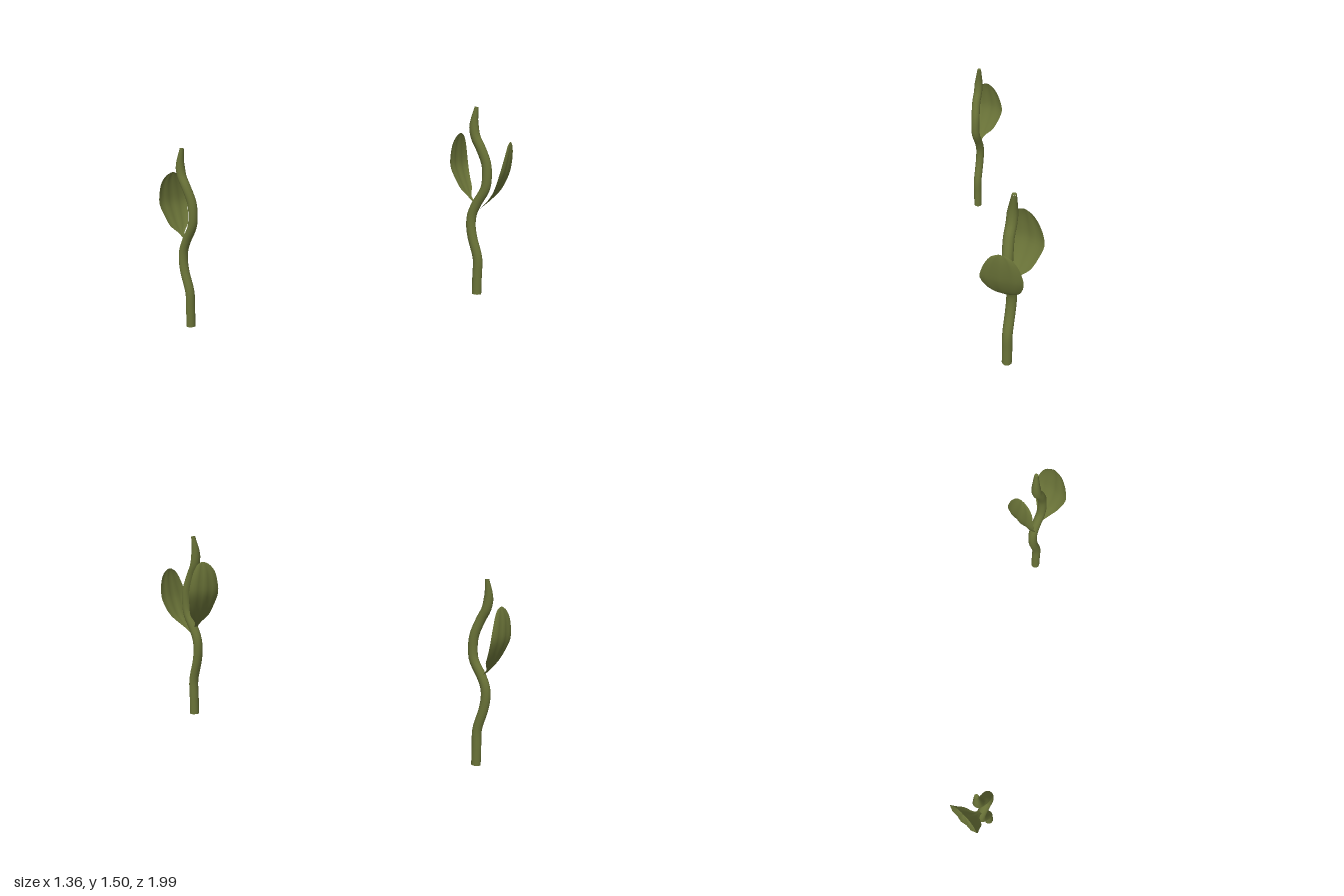
import * as THREE from 'three';

const green = new THREE.MeshStandardMaterial({ color: 0x6a7338 });
const leafGreen = new THREE.MeshStandardMaterial({ color: 0x6a7338, side: THREE.DoubleSide });

const STEM_RADIUS = 0.031, TIP_RADIUS = 0.013, TAPER_Y = 1.1, TOP_Y = 1.23;

function addMesh(parent, name, geometry, material) {
  const mesh = new THREE.Mesh(geometry, material);
  mesh.name = name;
  parent.add(mesh);
  return mesh;
}

// Winding stalk: a tube whose last rings shrink towards the tip, with flat caps
function addStem(parent) {
  const path = new THREE.CatmullRomCurve3([
    [-0.577, 0, -0.812], [-0.577, 0.12, -0.812], [-0.577, 0.24, -0.813],
    [-0.582, 0.38, -0.853], [-0.582, 0.46, -0.866], [-0.579, 0.53, -0.862],
    [-0.574, 0.6, -0.835], [-0.567, 0.7, -0.78], [-0.566, 0.76, -0.77],
    [-0.566, 0.86, -0.776], [-0.58, 0.97, -0.815], [-0.584, 1.04, -0.851],
    [-0.584, 1.12, -0.864], [-0.573, TOP_Y, -0.855],
  ].map((p) => new THREE.Vector3(...p)));
  const rings = 48, sides = 12;
  const tube = new THREE.TubeGeometry(path, rings, STEM_RADIUS, sides);
  const pos = tube.attributes.position, v = new THREE.Vector3();
  for (let i = 0; i <= rings; i++) {
    const centre = path.getPointAt(i / rings);
    const t = THREE.MathUtils.clamp((centre.y - TAPER_Y) / (TOP_Y - TAPER_Y), 0, 1);
    const scale = THREE.MathUtils.lerp(1, TIP_RADIUS / STEM_RADIUS, t);
    for (let j = 0; j <= sides; j++) {
      const k = i * (sides + 1) + j;
      v.fromBufferAttribute(pos, k).sub(centre).multiplyScalar(scale).add(centre);
      pos.setXYZ(k, v.x, v.y, v.z);
    }
  }
  addMesh(parent, 'stem', tube, green);
  for (const [name, u, r, turn] of [['stemBase', 0, STEM_RADIUS, 1], ['stemTip', 1, TIP_RADIUS, -1]]) {
    const cap = addMesh(parent, name, new THREE.CircleGeometry(r, sides), green);
    cap.rotation.x = turn * Math.PI / 2;
    cap.position.copy(path.getPointAt(u));
  }
}

// Leaf blade lofted over rows of [y, centre x, centre z, half width];
// outward is the z direction away from the stem, skew turns the blade
function addLeaf(parent, name, rows, outward, skew) {
  const across = 12, along = 24;
  const curve = (a, b, c) => new THREE.CatmullRomCurve3(
    rows.map((r) => new THREE.Vector3(r[a], r[b], c === undefined ? 0 : r[c])));
  const spine = curve(1, 0, 2), widths = curve(3, 0);
  const positions = [], index = [];
  for (let i = 0; i <= along; i++) {
    const p = spine.getPoint(i / along);
    const half = Math.max(widths.getPoint(i / along).x, 0.004);
    for (let j = 0; j <= across; j++) {
      const s = j / across * 2 - 1;
      // shallow cup towards the stem with soft lengthwise ribs
      const bulge = half * (0.12 * (0.5 - s * s) + 0.03 * Math.cos(s * Math.PI * 3));
      positions.push(p.x + s * half, p.y, p.z + s * half * skew + outward * bulge);
      if (i < along && j < across) {
        const a = i * (across + 1) + j, b = a + across + 1;
        index.push(a, a + 1, b + 1, a, b + 1, b);
      }
    }
  }
  const geometry = new THREE.BufferGeometry();
  geometry.setAttribute('position', new THREE.Float32BufferAttribute(positions, 3));
  geometry.setIndex(index);
  geometry.computeVertexNormals();
  addMesh(parent, name, geometry, leafGreen);
}

const BACK_LEAF = [
  [0.6, -0.575, -0.843, 0.006], [0.65, -0.571, -0.89, 0.025], [0.7, -0.569, -0.92, 0.075],
  [0.77, -0.563, -0.957, 0.1], [0.85, -0.562, -0.985, 0.119], [0.93, -0.567, -0.987, 0.108],
  [1.0, -0.573, -0.98, 0.084], [1.043, -0.57, -0.972, 0.048], [1.06, -0.567, -0.968, 0.012],
];
const FRONT_LEAF = [
  [0.845, 0.538, 0.795, 0.006], [0.88, 0.542, 0.835, 0.02], [0.92, 0.549, 0.872, 0.05],
  [0.97, 0.556, 0.91, 0.085], [1.07, 0.561, 0.952, 0.117], [1.15, 0.569, 0.967, 0.106],
  [1.22, 0.573, 0.974, 0.08], [1.26, 0.573, 0.975, 0.052], [1.283, 0.573, 0.974, 0.012],
];

function addSprout(parent, name, offset) {
  const sprout = new THREE.Group();
  sprout.name = name;
  sprout.position.set(...offset);
  addStem(sprout);
  addLeaf(sprout, 'backLeaf', BACK_LEAF, -1, 0);
  parent.add(sprout);
}

export function createModel() {
  const model = new THREE.Group();
  model.name = 'sprouts';
  addSprout(model, 'lowSprout', [0, 0, 0]);
  addSprout(model, 'highSprout', [1.103, 0.272, 1.605]);
  addLeaf(model, 'frontLeaf', FRONT_LEAF, 1, -0.2);
  return model;
}
